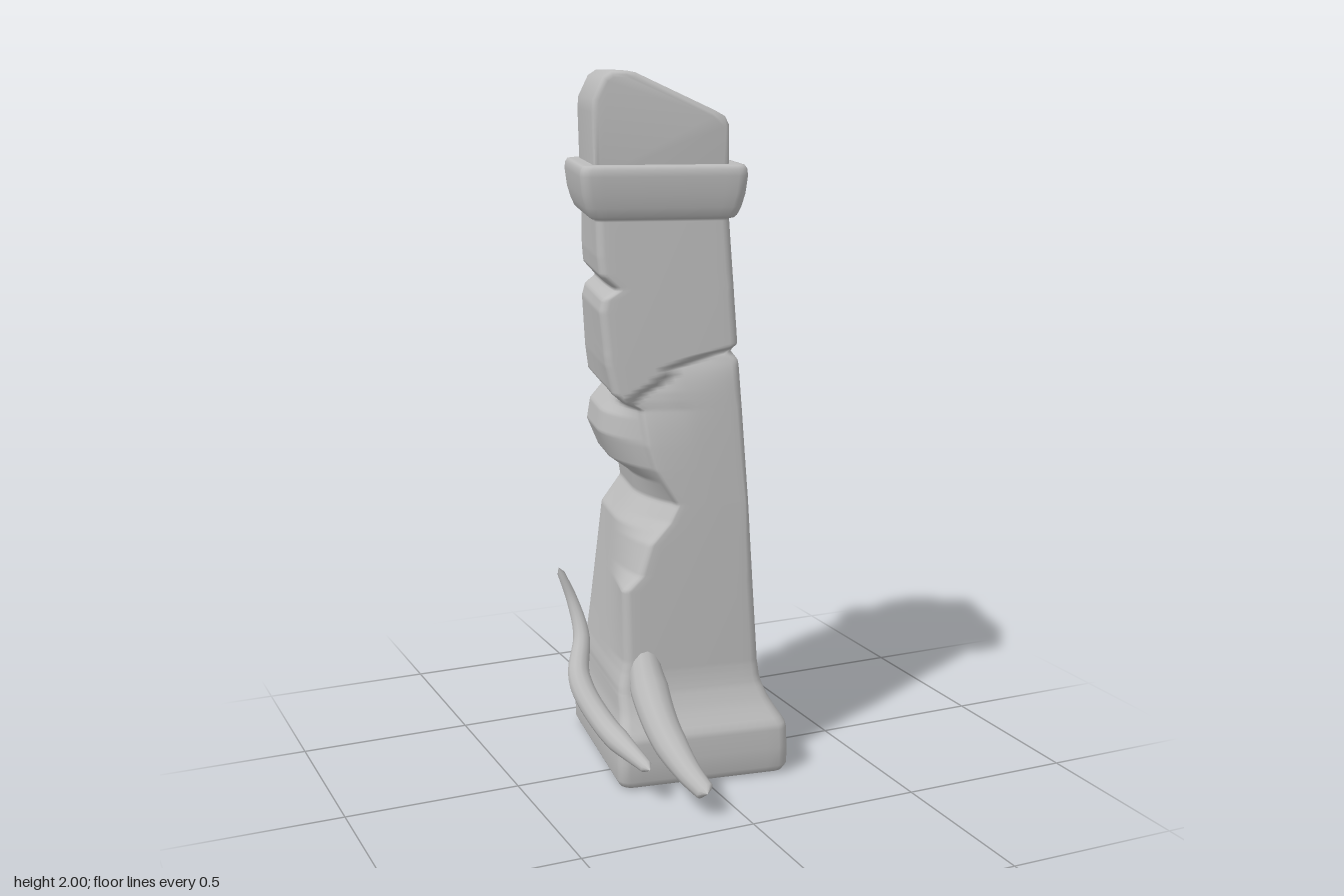
import * as THREE from 'three';
import { toCreasedNormals } from 'three/addons/utils/BufferGeometryUtils.js';

const stone = new THREE.MeshStandardMaterial({ color: 0xbcbcbc });
stone.name = 'grey stone';

const { lerp, clamp } = THREE.MathUtils;

// Piecewise linear lookup in a list of [key, value] with rising keys
function lookup(list, k) {
  if (k <= list[0][0]) return list[0][1];
  for (let i = 1; i < list.length; i++) {
    const [a, va] = list[i - 1], [b, vb] = list[i];
    if (k <= b) return lerp(va, vb, (k - a) / (b - a));
  }
  return list[list.length - 1][1];
}

// The pillar leans and twists slightly as it rises; it is a little deeper than wide
function axisAt(y) {
  return {
    x: lookup([[0.15, 0.041], [0.28, 0.018], [1.6, -0.016]], y),
    z: lookup([[0.15, -0.093], [0.28, -0.106], [1.6, -0.132]], y),
    a: lookup([[0.2, 0.14], [1.6, 0.265]], y),
    deep: lookup([[0.15, 0.075], [0.3, 0.035], [1.6, 0.03], [1.65, 0.015]], y),
  };
}

// Rounded unit square as a closed loop of [u, v]
function roundedSquare(r = 0.13, n = 12) {
  const pts = [];
  for (let s = 0; s < 4; s++) {
    const c = Math.cos(s * Math.PI / 2), k = Math.sin(s * Math.PI / 2);
    const put = (u, v) => pts.push([u * c - v * k, u * k + v * c]);
    for (let i = 0; i <= n; i++) put(1, lerp(-1 + r, 1 - r, i / n));
    for (let i = 1; i < 4; i++) {
      const t = i / 4 * Math.PI / 2;
      put(1 - r + r * Math.cos(t), 1 - r + r * Math.sin(t));
    }
  }
  return pts;
}

// Depth of the broken side at its front corner and toward its back corner
const brokenFront = [[0.25, 0], [0.35, 0.025], [0.56, 0.03], [0.6, 0.075], [0.69, 0.11], [0.75, 0.17], [0.8, 0.2],
  [0.9, 0.14], [0.97, 0.12], [1.07, 0.11], [1.095, 0.06], [1.12, 0.03], [1.2, 0.012], [1.35, 0], [1.385, 0.01],
  [1.41, 0.055], [1.45, 0.005], [1.5, 0]];
const brokenBack = [[0.25, 0], [0.4, 0.02], [0.6, 0.045], [0.72, 0.06], [0.8, 0.12], [0.86, 0.11], [0.9, 0.05],
  [0.98, 0.015], [1.04, 0.025], [1.09, 0.07], [1.13, 0.02], [1.2, 0.01], [1.35, 0], [1.385, 0.01],
  [1.41, 0.045], [1.45, 0.005], [1.5, 0]];

// Squeeze a shaft section for the broken side, the slanting front fracture and its end on the next face
function damage(u, v, y) {
  const w = clamp((v + 0.1) / 1.0, 0, 1);
  const side = lerp(lookup(brokenBack, y), lookup(brokenFront, y), w * w) / 0.42;
  const below = lookup([[-1, 1.09], [-0.2, 1.16], [0, 1.2], [1, 1.25]], u) - y;
  const front = below > 0 ? 0.075 * Math.min(1, below / 0.012) * Math.exp(-below / (0.06 - 0.04 * u)) : 0;
  const crack = 0.05 * clamp(v + 0.1, 0, 1) * Math.exp(-(((y - 1.225 - 0.02 * (1 - v)) / 0.015) ** 2));
  const broken = 1 - (1 - u) * (1 - side);
  return [-1 + (broken + 1) * (1 - crack), -1 + (v + 1) * (1 - front)];
}

// Hollow underside, plinth, shaft and collar as one loft of [y, half width, damaged]
function pillarGeometry() {
  const rows = [[0.42, 0.002], [0.3, 0.06], [0.12, 0.14], [0.03, 0.192], [0.01, 0.208], [0.003, 0.22], [0, 0.245],
    [0.005, 0.264], [0.025, 0.275], [0.08, 0.275], [0.135, 0.273], [0.15, 0.27], [0.165, 0.262], [0.195, 0.246],
    [0.22, 0.236], [0.25, 0.228]];
  for (let i = 0; i <= 220; i++) {
    const y = 0.26 + i * 0.0061;
    rows.push([y, lookup([[0.26, 0.226], [0.32, 0.22], [0.8, 0.212], [1.6, 0.192]], y), true]);
  }
  rows.push([1.604, 0.203], [1.612, 0.211], [1.635, 0.22], [1.67, 0.229], [1.72, 0.235], [1.738, 0.233],
    [1.748, 0.227], [1.75, 0.215], [1.75, 0.15]);
  const loop = roundedSquare(), m = loop.length, pos = [], idx = [];
  rows.forEach(([y, h, broken], i) => {
    const p = axisAt(y), c = Math.cos(p.a), s = Math.sin(p.a);
    loop.forEach(([u, v], j) => {
      const [du, dv] = broken ? damage(u, v, y) : [u, v];
      const a = du * h * (1 - p.deep), b = dv * h * (1 + p.deep);
      pos.push(p.x + a * c - b * s, y, p.z + a * s + b * c);
      if (i === rows.length - 1) return;
      const q = i * m + j, r = i * m + (j + 1) % m;
      idx.push(q, q + m, r, r, q + m, r + m);
    });
  });
  const g = new THREE.BufferGeometry();
  g.setAttribute('position', new THREE.Float32BufferAttribute(pos, 3));
  g.setIndex(idx);
  g.computeVertexNormals();
  return g;
}

// Sloping cap block with softened edges
function capGeometry() {
  const b = 0.018;
  const outline = [[-0.168, 1.72], [0.17, 1.72], [0.17, 1.85], [0.163, 1.865], [0.14, 1.878], [-0.075, 1.978],
    [-0.095, 1.982], [-0.13, 1.982], [-0.145, 1.972], [-0.17, 1.92], [-0.172, 1.89]];
  const shape = new THREE.Shape(outline.map(([x, y]) => new THREE.Vector2(x, y)));
  const g = new THREE.ExtrudeGeometry(shape, { depth: 0.355, bevelEnabled: true, bevelSize: b, bevelThickness: b,
    bevelSegments: 4 });
  g.translate(0, 0, -0.1775);
  return toCreasedNormals(g, 0.8);
}

// Tube along points whose thickness follows [t, radius], closed at both ends
function rootGeometry(points, radii) {
  const curve = new THREE.CatmullRomCurve3(points.map(p => new THREE.Vector3(...p)));
  const seg = 40, sides = 12;
  const g = new THREE.TubeGeometry(curve, seg, 1, sides);
  const p = g.attributes.position, v = new THREE.Vector3();
  for (let i = 0; i <= seg; i++) {
    const c = curve.getPointAt(i / seg);
    const r = i === 0 || i === seg ? 0.0005 : lookup(radii, i / seg);
    for (let j = 0; j <= sides; j++) {
      const k = i * (sides + 1) + j;
      v.fromBufferAttribute(p, k).sub(c).multiplyScalar(r).add(c);
      p.setXYZ(k, v.x, v.y, v.z);
    }
  }
  return g;
}

export function createModel() {
  const model = new THREE.Group();
  model.name = 'ruinedPillar';
  const add = (name, geometry) => {
    const mesh = new THREE.Mesh(geometry, stone);
    mesh.name = name;
    model.add(mesh);
    return mesh;
  };

  add('pillar', pillarGeometry());

  const cap = add('cap', capGeometry());
  cap.position.set(-0.021, 0, -0.131);
  cap.rotation.y = -0.265;

  add('frontRoot', rootGeometry(
    [[-0.13, 0.4, 0.03], [-0.145, 0.29, 0.12], [-0.145, 0.19, 0.23], [-0.125, 0.115, 0.34], [-0.1, 0.072, 0.42]],
    [[0, 0.035], [0.3, 0.055], [0.65, 0.047], [1, 0.026]]));

  add('sideTendril', rootGeometry(
    [[-0.295, 0.57, -0.195], [-0.262, 0.47, -0.17], [-0.255, 0.38, -0.12], [-0.293, 0.28, -0.04],
      [-0.268, 0.18, 0.09], [-0.21, 0.105, 0.28]],
    [[0, 0.01], [0.2, 0.02], [0.5, 0.034], [0.8, 0.034], [1, 0.016]]));

  return model;
}
